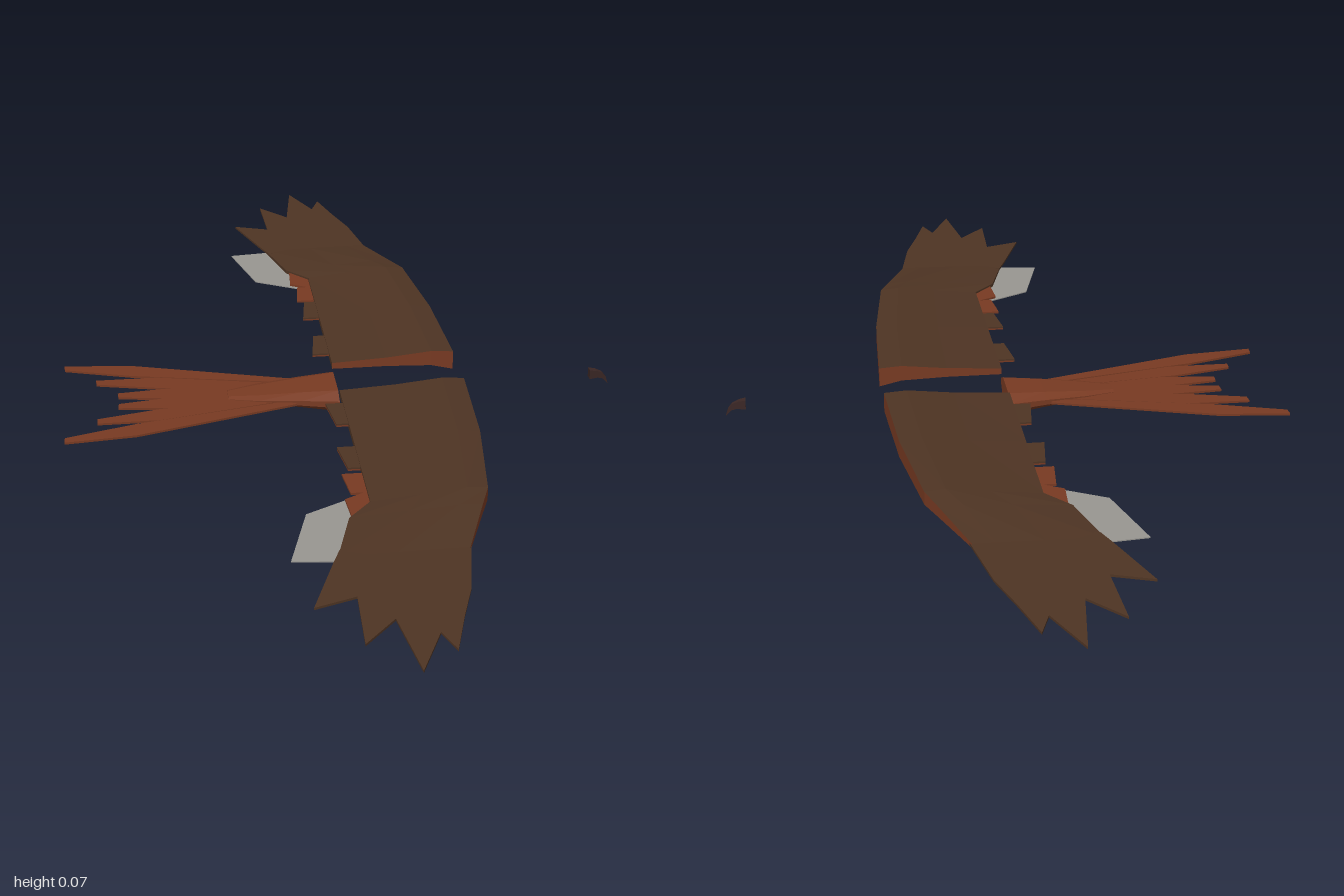
import * as THREE from 'three';

const mat = (name, color) => {
  const m = new THREE.MeshStandardMaterial({ color, side: THREE.DoubleSide, flatShading: true });
  m.name = name;
  return m;
};

export function createModel() {
  const group = new THREE.Group();
  group.name = 'birdParts';
  const brown = mat('darkBrown', 0x4e3423);
  const rust = mat('rust', 0x783a22);
  const grey = mat('grey', 0x989691);
  const horn = mat('horn', 0x3a2624);

  const add = (parent, name, geo, m) => {
    const mesh = new THREE.Mesh(geo, m);
    mesh.name = name;
    parent.add(mesh);
    return mesh;
  };

  // Surface stretched over rows of [x, y, z] points
  const skin = (rows) => {
    const pos = [];
    for (let i = 0; i + 1 < rows.length; i++) {
      for (let j = 0; j + 1 < rows[i].length; j++) {
        const [a, b, c, d] = [rows[i][j], rows[i + 1][j], rows[i + 1][j + 1], rows[i][j + 1]];
        pos.push(...a, ...b, ...c, ...a, ...c, ...d);
      }
    }
    const g = new THREE.BufferGeometry();
    g.setAttribute('position', new THREE.Float32BufferAttribute(pos, 3));
    g.computeVertexNormals();
    return g;
  };

  // Thin horizontal plate from an [x, z] outline, its top at height y
  const plate = (pts, y, h, s = 1) => {
    const shape = new THREE.Shape(pts.map(([x, z]) => new THREE.Vector2(x, z * s)));
    const g = new THREE.ExtrudeGeometry(shape, { depth: h, bevelEnabled: false });
    return g.rotateX(Math.PI / 2).translate(0, y, 0);
  };

  // Wing stations: z, front x, back x, top heights, bottom heights (front to back)
  const stations = [
    [0.06, 0.225, -0.01, [0.067, 0.07, 0.061, 0.055], [0.03, 0.04, 0.043, 0.043]],
    [0.28, 0.215, -0.01, [0.068, 0.071, 0.062, 0.055], [0.037, 0.043, 0.044, 0.044]],
    [0.49, 0.19, -0.01, [0.068, 0.071, 0.063, 0.054], [0.044, 0.046, 0.046, 0.046]],
    [0.54, 0.172, -0.052, [0.064, 0.066, 0.06, 0.053], [0.045, 0.046, 0.046, 0.046]],
    [0.66, 0.13, -0.085, [0.054, 0.054, 0.053, 0.051], [0.047, 0.047, 0.047, 0.047]],
  ];
  const chord = [0, 0.18, 0.55, 1];
  const primaries = [
    [0.135, 0.64], [0.11, 0.78], [0.085, 0.86], [0.06, 0.95], [0.042, 0.9], [0, 1],
    [-0.02, 0.855], [-0.075, 0.92], [-0.07, 0.785], [-0.14, 0.81], [-0.095, 0.68], [-0.08, 0.64],
  ];
  const greyPatch = [
    [0.155, 0.48], [0.03, 0.42], [-0.04, 0.46], [-0.12, 0.505],
    [-0.16, 0.655], [-0.07, 0.665], [0.08, 0.65], [0.145, 0.54],
  ];

  const makeWing = (s) => {
    const wing = new THREE.Group();
    wing.name = s > 0 ? 'leftWing' : 'rightWing';
    const row = (k) => ([z, f, b, ...ys]) => chord.map((t, i) => [f + (b - f) * t, ys[k][i], z * s]);
    const top = stations.map(row(0));
    const bottom = stations.map(row(1));
    add(wing, 'wingTop', skin(top), brown);
    add(wing, 'wingUnderside', skin(bottom), rust);
    const edge = (i) => skin([top.map((r) => r[i]), bottom.map((r) => r[i])]);
    add(wing, 'leadingEdge', edge(0), rust);
    add(wing, 'trailingEdge', edge(3), brown);
    add(wing, 'wingRoot', skin([top[0], bottom[0]]), rust);
    add(wing, 'primaryFeathers', plate(primaries, 0.052, 0.004, s), brown);
    // Stepped feathers along the trailing edge
    for (const [z0, z1] of [[0.11, 0.195], [0.285, 0.365]]) {
      const pts = [[0.02, z0], [-0.042, z0], [-0.032, z1], [0.02, z1]];
      add(wing, 'secondaryFeather', plate(pts, 0.053, 0.003, s), brown);
      add(wing, 'secondaryFeatherUnderside', plate(pts, 0.05, 0.003, s), rust);
    }
    const covert = [[0.02, 0.38], [-0.045, 0.38], [-0.038, 0.45], [-0.015, 0.45], [-0.05, 0.47], [-0.045, 0.55], [0.02, 0.55]];
    add(wing, 'rustFeathers', plate(covert, 0.05, 0.004, s), rust);
    // Pale patch beneath the wing
    add(wing, 'greyFeathers', plate(greyPatch, 0.045, 0.002, s), grey);
    group.add(wing);
  };
  makeWing(1);
  makeWing(-1);

  // Tail base: faceted body tapering backwards into the fan
  const tail = new THREE.Group();
  tail.name = 'tail';
  const ring = ([x, w, lo, hi]) => [
    [-0.55, 0], [-1, 0.45], [-1, 0.75], [-0.6, 1], [0.6, 1], [1, 0.75], [1, 0.45], [0.55, 0], [-0.55, 0],
  ].map(([z, y]) => [x, lo + (hi - lo) * y, z * w]);
  const rings = [
    [-0.01, 0.066, 0, 0.045], [-0.08, 0.053, 0.009, 0.041], [-0.16, 0.038, 0.017, 0.035], [-0.215, 0.02, 0.021, 0.031],
  ].map(ring);
  add(tail, 'tailBase', skin(rings), rust);
  for (const [r, x] of [[rings[0], -0.01], [rings[3], -0.215]]) {
    add(tail, 'tailBaseCap', skin([r, r.map(() => [x, 0.025, 0])]), rust);
  }

  // Tail fan of narrow tapered feathers
  const feathers = [[-0.52, 0.157, 0.05, 0.029], [-0.46, 0.086, 0.028, 0.0285], [-0.42, 0.026, 0.008, 0.028]];
  for (const s of [1, -1]) {
    for (const [x, z, root, y] of feathers) {
      const mid = root + (z - root) * 0.72;
      const pts = [
        [-0.09, root - 0.012], [x * 0.75, mid - 0.024], [x, z - 0.012],
        [x - 0.001, z + 0.006], [x * 0.75, mid + 0.022], [-0.09, root + 0.006],
      ];
      add(tail, 'tailFeather', plate(pts, y, 0.004, s), rust);
    }
  }
  group.add(tail);

  // Hooked beak
  const beak = new THREE.Shape([
    [0.48, 0.025], [0.497, 0.026], [0.507, 0.023], [0.518, 0.011], [0.513, 0.026],
    [0.505, 0.036], [0.493, 0.041], [0.48, 0.043],
  ].map(([x, y]) => new THREE.Vector2(x, y)));
  const beakGeo = new THREE.ExtrudeGeometry(beak, { depth: 0.016, bevelEnabled: false }).translate(0, 0, -0.008);
  // Narrow the beak towards its tip
  const p = beakGeo.attributes.position;
  for (let i = 0; i < p.count; i++) {
    p.setZ(i, p.getZ(i) * THREE.MathUtils.mapLinear(p.getX(i), 0.48, 0.518, 1, 0.2));
  }
  beakGeo.computeVertexNormals();
  add(group, 'beak', beakGeo, horn);

  return group;
}
